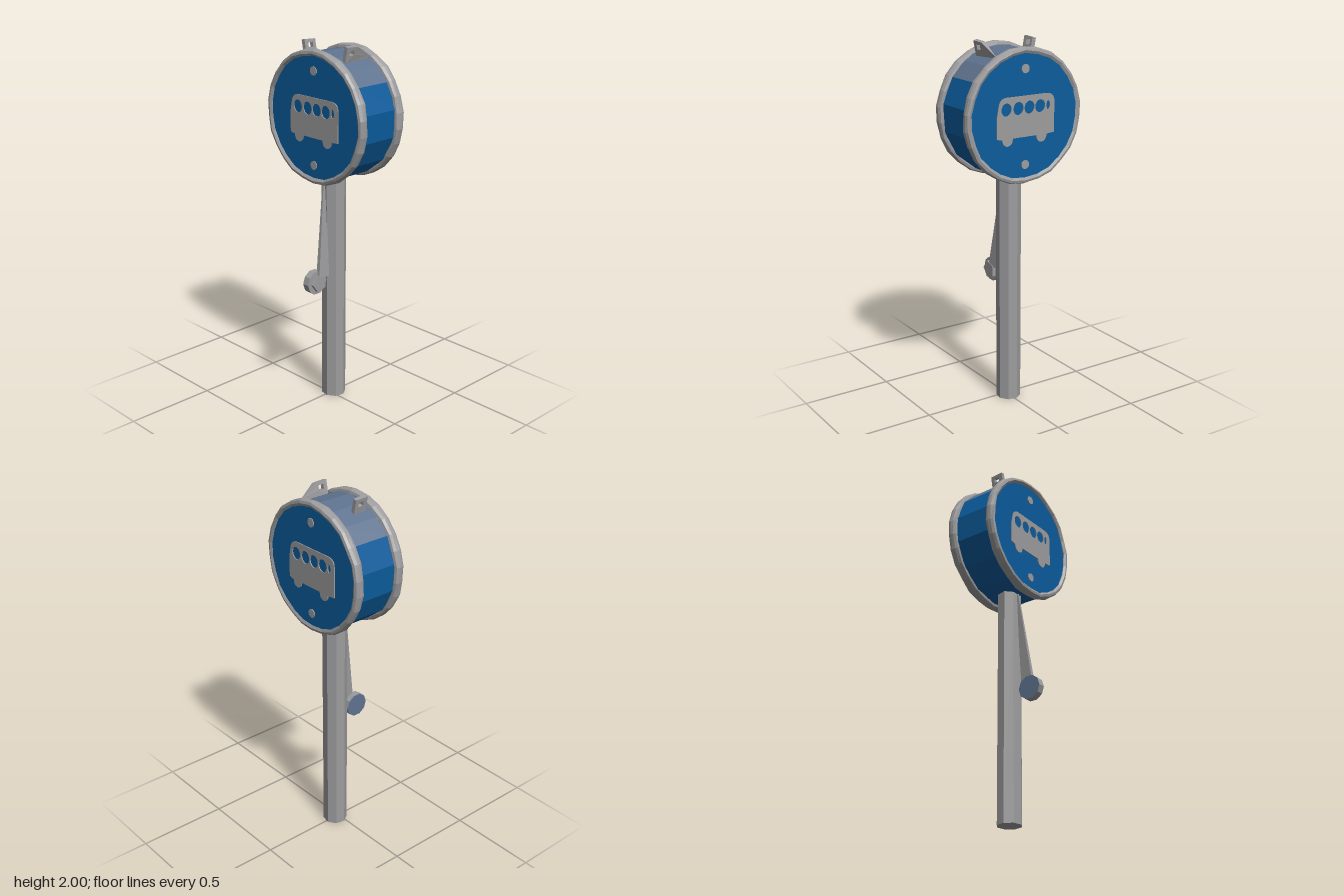
import * as THREE from 'three';

const HUB_Y = 1.622;

export function createModel() {
  const grey = new THREE.MeshStandardMaterial({ color: 0x9c9c9e });
  const blue = new THREE.MeshStandardMaterial({ color: 0x0a5c9c });
  const slate = new THREE.MeshStandardMaterial({ color: 0x5f738f });
  grey.name = 'steel grey';
  blue.name = 'sign blue';
  slate.name = 'slate blue';

  const model = new THREE.Group();
  model.name = 'busStopSign';

  // Adds a faceted mesh
  function add(parent, name, geometry, material, x = 0, y = 0, z = 0) {
    const flat = geometry.index ? geometry.toNonIndexed() : geometry;
    flat.computeVertexNormals();
    const mesh = new THREE.Mesh(flat, material);
    mesh.name = name;
    mesh.position.set(x, y, z);
    parent.add(mesh);
    return mesh;
  }

  // Moves every vertex of a geometry by a rule
  function warp(geometry, rule) {
    const p = geometry.attributes.position;
    const v = new THREE.Vector3();
    for (let i = 0; i < p.count; i++) {
      rule(v.fromBufferAttribute(p, i));
      p.setXYZ(i, v.x, v.y, v.z);
    }
    return geometry;
  }

  // Post
  add(model, 'post', new THREE.CylinderGeometry(0.067, 0.067, 1.31, 8).rotateY(0.2), grey, 0, 0.655, -0.025);

  // Drum wall: a slate strip over the top, blue around the rest
  const wall = (segments, start, length) =>
    new THREE.CylinderGeometry(0.336, 0.336, 0.23, segments, 1, true, start, length).rotateX(Math.PI / 2);
  const half = 0.96;
  add(model, 'drumTop', wall(6, Math.PI - half, half * 2), slate, 0, HUB_Y, -0.027);
  add(model, 'drumSides', wall(10, Math.PI + half, Math.PI * 2 - half * 2), blue, 0, HUB_Y, -0.027);

  // Rounded rims with a slightly uneven, beaten surface
  const section = [
    [0.322, -0.02], [0.336, -0.027], [0.349, -0.023], [0.355, -0.008], [0.354, 0.01],
    [0.347, 0.024], [0.334, 0.027], [0.322, 0.018], [0.322, -0.02],
  ].map(([r, h]) => new THREE.Vector2(r, h));
  for (const [name, z, phase] of [['frontRim', 0.104, 0], ['backRim', -0.158, 2]]) {
    const rim = new THREE.LatheGeometry(section, 26).rotateX(Math.PI / 2);
    warp(rim, (v) => {
      const a = Math.atan2(v.y, v.x);
      const k = 1 + 0.006 * Math.sin(9 * a + 60 * v.z + phase);
      v.x *= k;
      v.y *= k;
      v.z += 0.002 * Math.sin(11 * a + phase);
    });
    add(model, name, rim, grey, 0, HUB_Y, z);
  }

  // Bus outline with windows cut through
  function busShape() {
    const s = new THREE.Shape();
    s.moveTo(-0.174, -0.1);
    s.lineTo(-0.14, -0.108);
    s.absarc(-0.11, -0.112, 0.031, Math.PI, Math.PI * 2, false);
    s.lineTo(-0.079, -0.105);
    s.lineTo(0.067, -0.105);
    s.absarc(0.1, -0.112, 0.031, Math.PI, Math.PI * 2, false);
    s.lineTo(0.131, -0.105);
    s.lineTo(0.18, -0.1);
    s.lineTo(0.18, 0.065);
    s.quadraticCurveTo(0.178, 0.108, 0.13, 0.108);
    s.lineTo(-0.115, 0.108);
    s.quadraticCurveTo(-0.158, 0.106, -0.164, 0.06);
    s.lineTo(-0.174, 0.01);
    for (const [x, rx] of [[-0.117, 0.031], [-0.044, 0.031], [0.024, 0.031], [0.091, 0.031], [0.141, 0.011]]) {
      const hole = new THREE.Path();
      hole.absellipse(x, 0.046, rx, rx > 0.02 ? 0.034 : 0.024, 0, Math.PI * 2, true);
      s.holes.push(hole);
    }
    return s;
  }

  // The same sign face on both sides
  for (const [name, z, turn] of [['frontFace', 0.118, 0], ['backFace', -0.177, Math.PI]]) {
    const face = new THREE.Group();
    face.name = name;
    face.position.set(0, HUB_Y, z);
    face.rotation.y = turn;
    add(face, 'panel', new THREE.CircleGeometry(0.332, 32), blue);
    add(face, 'busSymbol', new THREE.ExtrudeGeometry(busShape(), { depth: 0.005, bevelEnabled: false, curveSegments: 8 }), grey);
    for (const y of [0.245, -0.252]) {
      add(face, 'bolt', new THREE.CylinderGeometry(0.024, 0.024, 0.005, 10).rotateX(Math.PI / 2), grey, 0, y, 0.0025);
    }
    model.add(face);
  }

  // Hanging lugs on top; the left one has a long tapering foot
  for (const side of [-1, 1]) {
    const s = new THREE.Shape();
    s.moveTo(-0.045, -0.015);
    if (side > 0) s.lineTo(0.122, -0.01);
    else s.lineTo(0.03, -0.015);
    if (side > 0) s.lineTo(0.122, 0.004);
    s.lineTo(0.03, 0.066);
    s.lineTo(-0.045, 0.07);
    s.closePath();
    const hole = new THREE.Path();
    hole.moveTo(-0.022, 0.025);
    hole.lineTo(-0.022, 0.05);
    hole.lineTo(0.01, 0.05);
    hole.lineTo(0.01, 0.025);
    hole.closePath();
    s.holes.push(hole);
    const lug = new THREE.ExtrudeGeometry(s, { depth: 0.022, bevelEnabled: false });
    lug.translate(0, 0, -0.011).rotateY(Math.PI / 2);
    warp(lug, (v) => { if (v.z < -0.1) v.x *= 0.15; });
    add(model, side > 0 ? 'leftLug' : 'rightLug', lug, grey, side * 0.144, 1.93, 0).rotation.z = -side * 0.2;
  }

  // Lever: a wedge-shaped arm leaning on the post, with a disc and hub
  const lever = new THREE.Group();
  lever.name = 'lever';
  const arm = warp(new THREE.BoxGeometry(1, 1, 1), (v) => {
    const top = v.y > 0;
    const front = v.z > 0;
    v.x = top ? -0.01 + v.x * 0.008 : 0.024 + v.x * 0.024;
    v.z = top ? (front ? 0.043 : 0.03) : (front ? 0.118 : 0.045);
    v.y = top ? 1.29 : 0.74;
  });
  add(lever, 'arm', arm, grey);
  add(lever, 'disc', new THREE.CylinderGeometry(0.067, 0.067, 0.04, 10).rotateZ(Math.PI / 2), [grey, slate, grey], 0, 0.714, 0.118);
  add(lever, 'hub', new THREE.CylinderGeometry(0.05, 0.05, 0.02, 5).rotateZ(Math.PI / 2), grey, 0.029, 0.714, 0.115);
  model.add(lever);

  return model;
}
